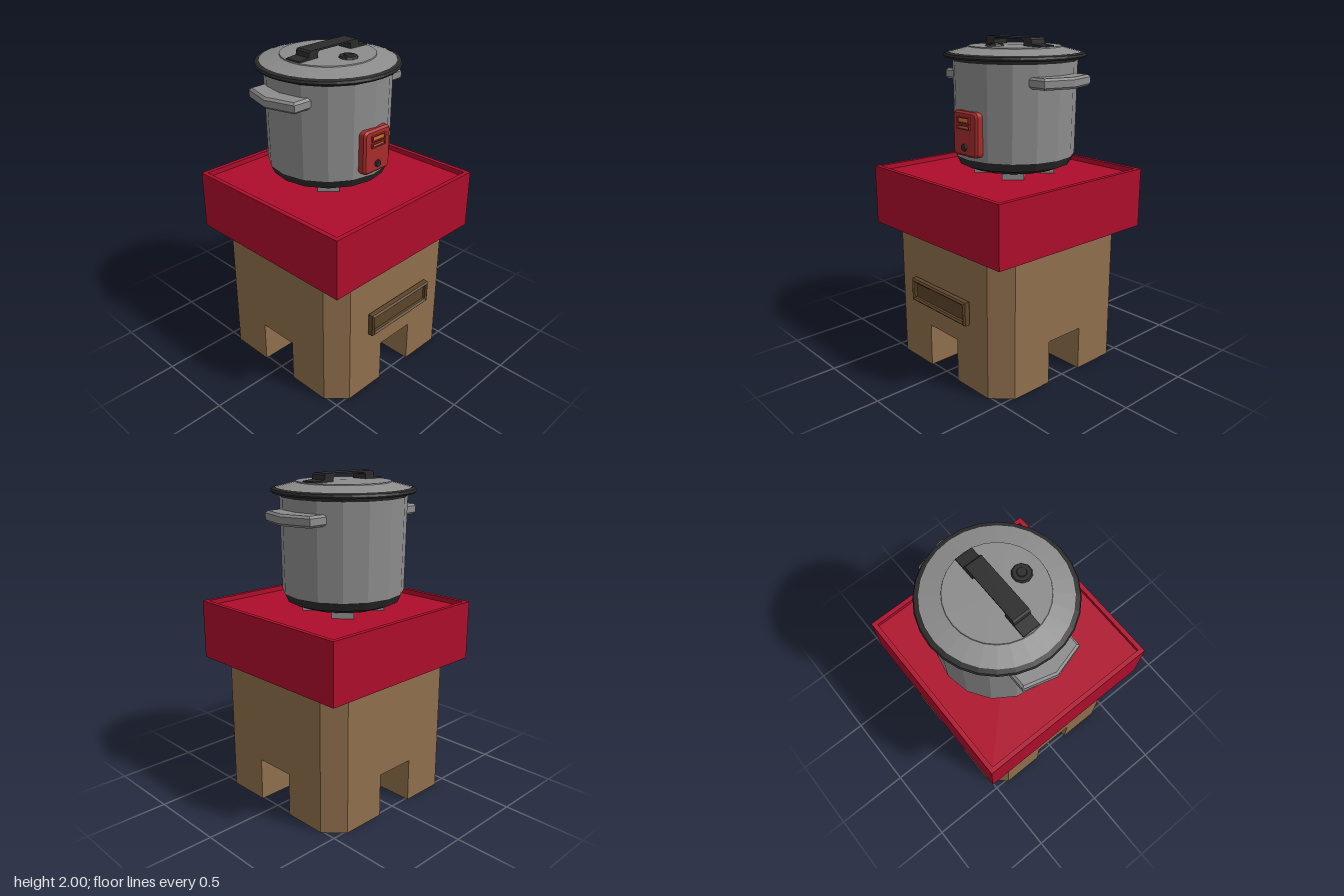
import * as THREE from 'three';

const mat = (color) => new THREE.MeshStandardMaterial({ color, flatShading: true });
const STEEL = mat(0x8c8c8c), BLACK = mat(0x2b2b2b), RED = mat(0xae0d2b), WOOD = mat(0x8f6f4c);
const DARKWOOD = mat(0x5d452a), PANEL = mat(0xa82c2c), ORANGE = mat(0xcf7228), PINK = mat(0xc46a55);

function add(parent, name, geometry, material, x = 0, y = 0, z = 0) {
  const mesh = new THREE.Mesh(geometry, material);
  mesh.name = name;
  mesh.position.set(x, y, z);
  parent.add(mesh);
  return mesh;
}

const polygon = (pts) => new THREE.Shape(pts.map(([x, y]) => new THREE.Vector2(x, y)));
const rect = (w, h) => polygon([[-w, -h], [w, -h], [w, h], [-w, h]]);

function roundedRect(w, h, r) {
  const s = new THREE.Shape();
  s.absarc(w - r, h - r, r, 0, Math.PI / 2);
  s.absarc(-w + r, h - r, r, Math.PI / 2, Math.PI);
  s.absarc(-w + r, -h + r, r, Math.PI, Math.PI * 1.5);
  s.absarc(w - r, -h + r, r, Math.PI * 1.5, Math.PI * 2);
  return s;
}

// Extrusion whose bevel stays inside the outline and total depth
function slab(shape, depth, bevel = 0) {
  const g = new THREE.ExtrudeGeometry(shape, {
    depth: depth - 2 * bevel, bevelEnabled: bevel > 0, bevelSize: bevel,
    bevelThickness: bevel, bevelOffset: -bevel, bevelSegments: 1, curveSegments: 4,
  });
  return g.translate(0, 0, bevel);
}
const upright = (g) => g.rotateX(-Math.PI / 2); // extrude along +y
const sideways = (g) => g.rotateY(Math.PI / 2); // extrude along +x
const lathe = (pts, sides) =>
  new THREE.LatheGeometry(pts.map(([r, y]) => new THREE.Vector2(r, y)), sides);

function buildStand() {
  const g = new THREE.Group();
  g.name = 'stand';
  const o = 0.515, c = 0.405, slot = 0.13, cut = 0.27;

  // Chamfered block above four corner legs
  const block = polygon([[o, -c], [o, c], [c, o], [-c, o], [-o, c], [-o, -c], [-c, -o], [c, -o]]);
  add(g, 'cabinet', upright(slab(block, 0.86 - cut)), WOOD, 0, cut, 0);
  const legShape = polygon([[slot, slot], [o, slot], [o, c], [c, o], [slot, o]]);
  for (let i = 0; i < 4; i++) {
    add(g, 'leg', upright(slab(legShape, cut)), WOOD).rotation.y = (i * Math.PI) / 2;
  }

  // Recessed pull on the side
  const frame = rect(0.257, 0.072);
  frame.holes.push(rect(0.235, 0.05));
  add(g, 'pullFrame', sideways(slab(frame, 0.05, 0.01)), DARKWOOD, 0.513, 0.485, 0);
  add(g, 'pullRecess', new THREE.BoxGeometry(0.025, 0.12, 0.49), DARKWOOD, 0.525, 0.485, 0);

  // Tray top with a raised rim
  const rim = rect(0.58, 0.58);
  rim.holes.push(rect(0.552, 0.552));
  add(g, 'trayRim', upright(slab(rim, 0.365)), RED, 0, 0.85, 0);
  add(g, 'trayFloor', new THREE.BoxGeometry(1.11, 0.335, 1.11), RED, 0, 1.0175, 0);
  return g;
}

function buildPot() {
  const g = new THREE.Group();
  g.name = 'pot';
  g.position.x = -0.065;

  // Feet on the diagonals
  for (let i = 0; i < 4; i++) {
    const a = Math.PI / 4 + (i * Math.PI) / 2;
    add(g, 'foot', new THREE.BoxGeometry(0.13, 0.06, 0.09), STEEL,
      Math.sin(a) * 0.2, 1.212, Math.cos(a) * 0.2).rotation.y = a;
  }

  // Body
  add(g, 'potBase', lathe([[0, 1.225], [0.27, 1.225], [0.345, 1.255], [0.367, 1.305]], 16), BLACK);
  add(g, 'potBody', lathe([[0.367, 1.305], [0.375, 1.87]], 16), STEEL);
  add(g, 'potCollar', lathe([[0.375, 1.865], [0.385, 1.892]], 16), BLACK);

  // Lid
  add(g, 'lidRim', lathe([[0.33, 1.885], [0.418, 1.885], [0.426, 1.895], [0.42, 1.908], [0.395, 1.915]], 28), BLACK);
  add(g, 'lid', lathe([[0.4, 1.912], [0.28, 1.943], [0.278, 1.949], [0, 1.955]], 28), STEEL);

  // Arched lid grip: end tabs, sloped shoulders, flat bridge
  const arch = polygon([[-0.27, 1.945], [-0.13, 1.945], [-0.13, 1.98], [-0.115, 1.99], [0.115, 1.99],
    [0.13, 1.98], [0.13, 1.945], [0.27, 1.945], [0.27, 1.958], [0.2, 1.964],
    [0.195, 1.99], [0.185, 2], [-0.185, 2], [-0.195, 1.99], [-0.2, 1.964], [-0.27, 1.958]]);
  add(g, 'lidGrip', sideways(slab(arch, 0.105)), BLACK, -0.0525, 0, 0);

  // Steam vent
  add(g, 'ventBase', new THREE.CylinderGeometry(0.05, 0.058, 0.014, 10), BLACK, 0.16, 1.956, 0);
  add(g, 'ventCap', new THREE.CylinderGeometry(0.025, 0.03, 0.008, 10), BLACK, 0.16, 1.964, 0);

  // Carrying handles, front and back
  const grip = polygon([[-0.187, -0.3], [0.187, -0.3], [0.187, -0.435], [0, -0.487], [-0.187, -0.435]]);
  for (const turn of [0, Math.PI]) {
    add(g, 'carryHandle', upright(slab(grip, 0.065, 0.013)), STEEL, 0, 1.732, 0).rotation.y = turn;
  }

  // Control panel
  const panel = new THREE.Group();
  panel.name = 'controlPanel';
  panel.position.set(0.33, 1.462, 0);
  g.add(panel);
  add(panel, 'panelPlate', sideways(slab(roundedRect(0.107, 0.132, 0.03), 0.065, 0.012)), PANEL);
  [[0.082, 0.036, ORANGE], [0.041, 0.026, PINK]].forEach(([y, h, m]) => {
    const bezel = rect(0.056, h / 2);
    bezel.holes.push(rect(0.046, h / 2 - 0.006));
    add(panel, 'windowFrame', sideways(slab(bezel, 0.017)), PANEL, 0.06, y, 0);
    add(panel, 'window', new THREE.BoxGeometry(0.01, h - 0.01, 0.094), m, 0.064, y, 0);
  });
  add(panel, 'button', new THREE.CylinderGeometry(0.02, 0.024, 0.02, 10).rotateZ(-Math.PI / 2), BLACK, 0.067, -0.078, 0);
  return g;
}

export function createModel() {
  const model = new THREE.Group();
  model.name = 'cookerOnStand';
  model.add(buildStand(), buildPot());
  return model;
}
